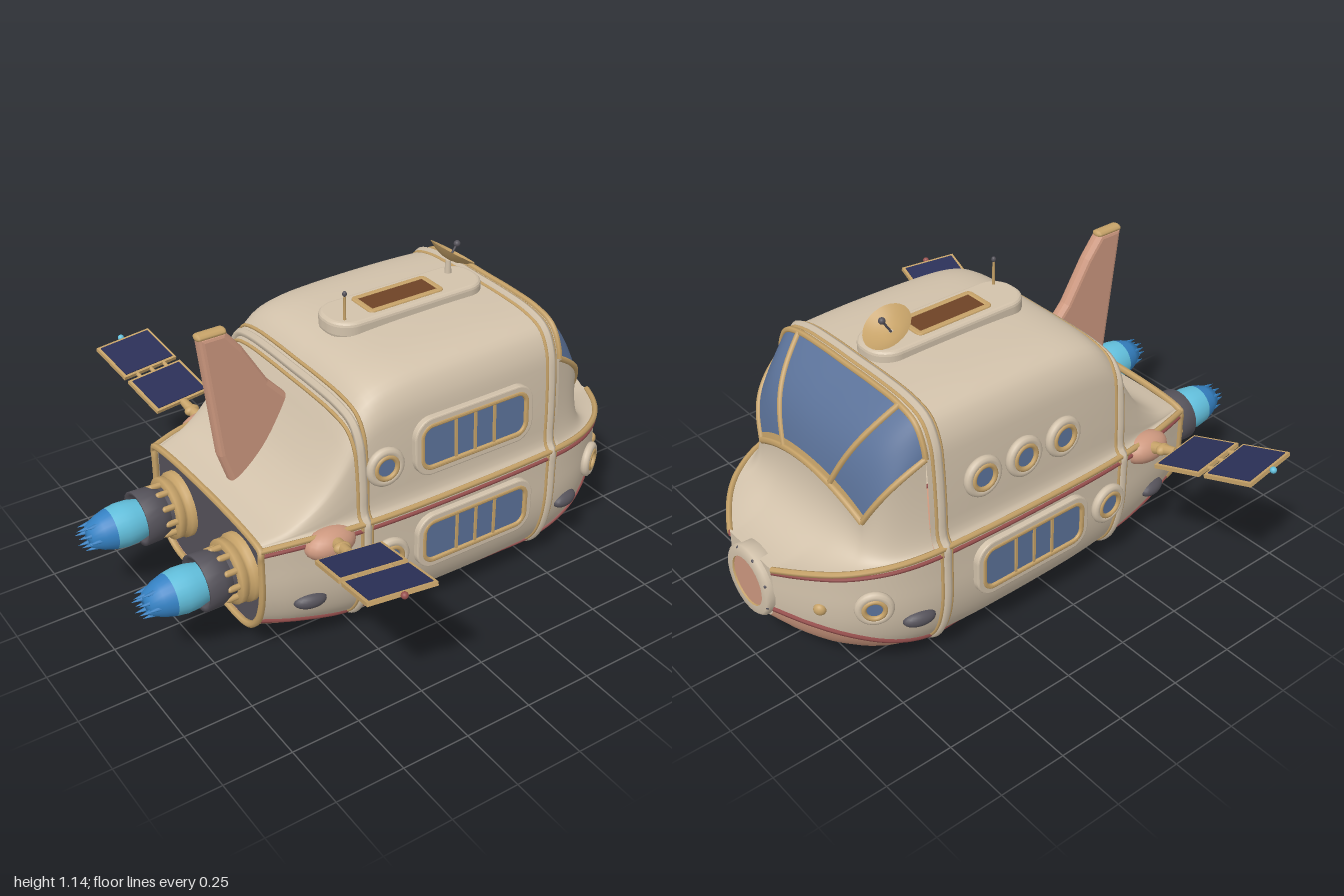
import * as THREE from 'three';

const mat = (name, color) => {
  const m = new THREE.MeshStandardMaterial({ color, side: THREE.DoubleSide });
  m.name = name;
  return m;
};
const V = (x, y, z) => new THREE.Vector3(x, y, z);
const ends = [1, -1];

// smooth lookup of column c in a table of stations sorted by x
function at(tab, x, c) {
  const n = tab.length - 1;
  let i = 0;
  while (i < n - 1 && x > tab[i + 1][0]) i++;
  const slope = k => {
    const a = tab[Math.max(k - 1, 0)], b = tab[Math.min(k + 1, n)];
    return (b[c] - a[c]) / (b[0] - a[0]);
  };
  const [p, q] = [tab[i], tab[i + 1]], d = q[0] - p[0];
  const t = THREE.MathUtils.clamp((x - p[0]) / d, 0, 1), s = 1 - t;
  return p[c] * s * s * (1 + 2 * t) + q[c] * t * t * (3 - 2 * t) + slope(i) * d * t * s * s - slope(i + 1) * d * t * t * s;
}
// half sections, from the seam to the centre line
const section = pts => new THREE.CatmullRomCurve3(pts.map(p => V(p[0], p[1], 0)));
const hullSec = section([[1, 0], [1, .2], [1, .42], [.97, .62], [.9, .8], [.77, .94], [.6, 1], [.3, 1], [0, 1]]);
const cabinSec = section([[1, 0], [.955, .06], [.94, .3], [.92, .6], [.89, .78], [.8, .92], [.62, .98], [.3, 1], [0, 1]]);
// x, half width, top, bottom
const HULL = [[-.62, .37, .49, .11], [-.5, .405, .5, .08], [-.3, .44, .5, .05], [0, .455, .5, .03], [.5, .45, .5, .03],
  [.68, .415, .49, .055], [.82, .335, .475, .11], [.91, .235, .46, .165], [.975, .125, .44, .22]];
// x, roof height
const ROOF = [[-.62, .5], [-.5, .54], [-.4, .63], [-.33, .74], [-.27, .86], [-.21, .935], [-.13, .97], [0, .985], [.3, .99], [.56, .985]];
// x, height where the belly paint begins
const BELLY = [[-.62, .18], [-.4, .12], [-.2, .06], [0, .045], [.4, .05], [.55, .09], [.7, .15], [.85, .22], [.975, .27]];
const X0 = -.62, X1 = .975, XC = .56;

function hullPt(x, t, s = 1) {
  const p = hullSec.getPoint(t), top = at(HULL, x, 2);
  return V(x, top - (top - at(HULL, x, 3)) * p.y, s * at(HULL, x, 1) * p.x);
}
function cabinPt(x, t, s = 1) {
  const p = cabinSec.getPoint(t), base = at(HULL, x, 2);
  return V(x, base + (at(ROOF, x, 1) - base) * p.y, s * at(HULL, x, 1) * p.x);
}
function tAtY(fn, x, y) {
  let a = 0, b = 1;
  const up = fn === cabinPt;
  for (let i = 0; i < 24; i++) {
    const m = (a + b) / 2;
    if ((fn(x, m).y < y) === up) a = m; else b = m;
  }
  return a;
}
function sideZ(x, y) {
  const fn = y > at(HULL, x, 2) ? cabinPt : hullPt;
  return fn(x, tAtY(fn, x, y)).z;
}
// windscreen surface: s across, u from the roof to the cowl
const tA = tAtY(cabinPt, XC, .84);
function glassPt(s, u) {
  const k = 1 - s * s, b = Math.sin(Math.PI * u);
  const p = cabinPt(XC, tA + (1 - tA) * (1 - Math.abs(s)), Math.sign(s) || 1).lerp(V(.73 + .012 * k, .61 + .08 * k, .29 * s), u);
  return p.add(V(.035 * b, .015 * b, .012 * b * s));
}
// cowl from windscreen edge down to the nose seam
function cowlPt(k, v) {
  const a = Math.abs(k), g = Math.sign(k) || 1;
  const e = a > .5 ? glassPt(g, 2 * (1 - a)) : glassPt(2 * k, 1);
  const x = a > .25 ? XC + (X1 - XC) * (1 - a) / .75 : X1;
  const l = hullPt(x, 0, a > .25 ? g : k / .25);
  const h = v * v, w = 1 - (1 - v) ** 2;
  return V(e.x + (l.x - e.x) * h, e.y + (l.y - e.y) * w, e.z + (l.z - e.z) * h);
}
function patch(fn, nu, nv) {
  const pos = [], idx = [];
  for (let i = 0; i <= nu; i++) for (let j = 0; j <= nv; j++) {
    pos.push(...fn(i / nu, j / nv).toArray());
    if (i < nu && j < nv) {
      const a = i * (nv + 1) + j, b = a + nv + 1;
      idx.push(a, b, a + 1, b, b + 1, a + 1);
    }
  }
  const g = new THREE.BufferGeometry();
  g.setAttribute('position', new THREE.Float32BufferAttribute(pos, 3));
  g.setIndex(idx);
  g.computeVertexNormals();
  return g;
}
const line = (n, fn) => Array.from({ length: n + 1 }, (_, i) => fn(i / n));
const tube = (pts, r, closed = false) => new THREE.TubeGeometry(new THREE.CatmullRomCurve3(pts, closed), pts.length * 2, r, 6, closed);
// turned part along x, from [x, radius] pairs
const latheX = pts => new THREE.LatheGeometry(pts.map(p => new THREE.Vector2(p[1], p[0])), 24).rotateZ(-Math.PI / 2);
function roundRect(w, h, r, S = THREE.Shape) {
  const s = new S(), x = w / 2 - r, y = h / 2 - r;
  s.absarc(x, y, r, 0, Math.PI / 2).absarc(-x, y, r, Math.PI / 2, Math.PI);
  s.absarc(-x, -y, r, Math.PI, Math.PI * 1.5).absarc(x, -y, r, Math.PI * 1.5, Math.PI * 2);
  return s;
}
function rectFrame(w, h, r, t, depth) {
  const s = roundRect(w, h, r);
  s.holes.push(roundRect(w - 2 * t, h - 2 * t, r - t, THREE.Path));
  return new THREE.ExtrudeGeometry(s, { depth, bevelEnabled: true, bevelSize: .005, bevelThickness: .005, bevelSegments: 2, curveSegments: 8 });
}

export function createModel() {
  const cream = mat('cream', 0xd2c2ab), salmon = mat('salmon', 0xcd987f), crimson = mat('crimson', 0x98504e),
    gold = mat('gold', 0xc6a268), glass = mat('glass blue', 0x5b7299), navy = mat('solar navy', 0x2b3058),
    grey = mat('dark grey', 0x55525a), cyan = mat('flame cyan', 0x62bfdc), blue = mat('flame blue', 0x3582c4), brown = mat('skylight brown', 0x6e4326);
  const root = new THREE.Group();
  const add = (name, geo, m, pos, parent = root) => {
    const o = new THREE.Mesh(geo, m);
    o.name = name;
    if (pos) o.position.set(...pos);
    parent.add(o);
    return o;
  };
  const group = (name, parent = root) => {
    const g = new THREE.Group();
    g.name = name;
    parent.add(g);
    return g;
  };
  const box = (x, y, z) => new THREE.BoxGeometry(x, y, z);
  const cyl = (a, b, h, n = 20) => new THREE.CylinderGeometry(a, b, h, n);
  const ball = (x, y, z) => new THREE.SphereGeometry(1, 20, 14).scale(x, y, z);
  const xAt = u => X0 + (X1 - X0) * u;

  // hull, belly and seam trim
  for (const s of ends) {
    const split = x => tAtY(hullPt, x, at(BELLY, x, 1));
    add('hullSide', patch((u, v) => hullPt(xAt(u), v * split(xAt(u)), s), 60, 16), cream);
    add('belly', patch((u, v) => { const t = split(xAt(u)); return hullPt(xAt(u), t + (1 - t) * v, s); }, 60, 14), salmon);
    add('seamTrim', tube(line(40, u => hullPt(xAt(u), 0, s)), .011), gold);
    add('seamStripe', tube(line(40, u => hullPt(xAt(u), .035, s)), .008), crimson);
    add('bellyStripe', tube(line(40, u => hullPt(xAt(u), split(xAt(u)), s)), .009), crimson);
    add('cabin', patch((u, v) => cabinPt(X0 + (XC - X0) * u, v, s), 60, 26), cream);
  }
  add('rearBulkhead', patch((u, v) => hullPt(X0, v, 2 * u - 1).add(V(.015, 0, 0)), 8, 20), grey);
  add('rearRim', tube([...line(20, t => hullPt(X0, t)), ...line(20, t => hullPt(X0, 1 - t, -1)).slice(1)], .013, true), gold);
  add('noseCap', patch((u, v) => hullPt(X1, v, 2 * u - 1), 8, 20), cream);

  // windscreen and cowl
  add('windscreen', patch((u, v) => glassPt(2 * u - 1, v * .92), 40, 14), glass);
  add('windscreenSill', patch((u, v) => glassPt(2 * u - 1, .92 + v * .08), 40, 3), gold);
  add('cowl', patch((u, v) => cowlPt(2 * u - 1, v), 80, 16), cream);
  add('windscreenTop', tube(line(30, u => glassPt(2 * u - 1, 0)), .011), gold);
  add('windscreenBottom', tube(line(20, u => glassPt(2 * u - 1, 1)), .013), gold);
  for (const s of [-1, -.45, .45, 1]) add('windscreenBar', tube(line(10, u => glassPt(s, u)), .011), gold);

  // hoops around the whole body
  const hoop = x => [...line(16, t => hullPt(x, 1 - t)), ...line(24, t => cabinPt(x, t)).slice(1),
    ...line(24, t => cabinPt(x, 1 - t, -1)).slice(1), ...line(16, t => hullPt(x, t, -1)).slice(1, -1)];
  for (const x of [-.26, .52]) {
    add('hoop', tube(hoop(x), .016, true), cream);
    for (const d of ends) add('hoopEdge', tube(hoop(x + d * .017), .007, true), gold);
  }

  // things fixed to the sides, turned to follow the surface
  const mount = (name, x, y, s) => {
    const g = group(name), e = .02, z = sideZ(x, y);
    const n = V((sideZ(x - e, y) - sideZ(x + e, y)) / (2 * e), (sideZ(x, y - e) - sideZ(x, y + e)) / (2 * e), 1);
    g.position.set(x, y, s * z);
    g.lookAt(V(x + n.x, y + n.y, s * (z + 1)));
    return g;
  };
  const porthole = (x, y, s, r) => {
    const g = mount('porthole', x, y, s);
    add('portholeRing', new THREE.TorusGeometry(r, .016, 10, 28), cream, [0, 0, .01], g);
    add('portholeRim', new THREE.TorusGeometry(r - .015, .009, 8, 28), gold, [0, 0, .02], g);
    add('portholeGlass', new THREE.CircleGeometry(r - .01, 28), glass, [0, 0, .017], g);
  };
  const sideWindow = (x, y, s) => {
    const g = mount('sideWindow', x, y, s);
    add('windowFrame', rectFrame(.48, .205, .065, .02, .02), cream, [0, 0, -.005], g);
    add('windowRim', rectFrame(.44, .165, .045, .006, .016), gold, [0, 0, .002], g);
    add('windowGlass', new THREE.ShapeGeometry(roundRect(.445, .17, .045)), glass, [0, 0, .013], g);
    for (const i of [-1, 0, 1]) add('windowBar', box(.009, .165, .01), gold, [i * .08, 0, .015], g);
  };
  for (const s of ends) {
    sideWindow(.17, .345, s);
    porthole(-.18, .34, s, .06);
    porthole(.76, .34, s, .05);
    for (const x of [-.46, .62]) add('sideLamp', ball(.058, .028, .03), grey, null, mount('sideLampMount', x, .245, s));
    add('noseBolt', ball(.022, .022, .018), gold, null, mount('noseBoltMount', .89, .32, s));
  }
  sideWindow(.175, .705, 1);
  porthole(-.18, .685, 1, .055);
  for (const x of [.02, .19, .36]) porthole(x, .7, -1, .058);

  // nose hatch
  add('noseRing', latheX([[.93, .1], [.94, .128], [.99, .128], [1, .118], [1, .09]]), cream, [0, .325, 0]);
  add('noseRim', new THREE.TorusGeometry(.098, .01, 8, 32).rotateY(Math.PI / 2), gold, [.99, .325, 0]);
  add('noseDisc', new THREE.CircleGeometry(.095, 32).rotateY(Math.PI / 2), salmon, [.993, .325, 0]);
  for (let i = 0; i < 8; i++) {
    const a = (i + .5) * Math.PI / 4;
    add('noseRivet', ball(.006, .008, .008), grey, [.994, .325 + .116 * Math.sin(a), .116 * Math.cos(a)]);
  }

  // underside
  add('bellyPlate', patch((u, v) => { const x = -.5 + 1.08 * u; return V(x, at(HULL, x, 3) - .006, .25 * (2 * v - 1)); }, 24, 4), grey);
  add('bellyHatch', cyl(.11, .11, .01, 32), gold, [.15, .02, 0]);
  add('bellyHatchRim', new THREE.TorusGeometry(.12, .013, 8, 32).rotateX(Math.PI / 2), gold, [.15, .02, 0]);
  for (const x of [-.12, .4]) for (let i = -3; i <= 3; i++) add('bellyVent', box(.012, .01, .12), grey, [x + i * .022, .022, 0]);
  for (const s of ends) for (const x of [-.18, .45]) add('footPad', ball(.095, .03, .042), cream, [x, .03, s * .265]);

  // roof pod, skylight, mast and dish
  const pod = new THREE.ExtrudeGeometry(roundRect(.6, .16, .07), { depth: .03, bevelSize: .015, bevelThickness: .015, bevelSegments: 3 });
  add('roofPod', pod.rotateX(-Math.PI / 2), cream, [.18, .98, 0]);
  add('skylightFrame', rectFrame(.3, .12, .015, .012, .006).rotateX(-Math.PI / 2), gold, [.165, 1.02, 0]);
  add('skylight', box(.28, .006, .1), brown, [.165, 1.025, 0]);
  add('mast', cyl(.004, .006, .12, 8), gold, [-.085, 1.06, .05]);
  add('mastTip', ball(.008, .01, .008), grey, [-.085, 1.12, .05]);
  add('dishPost', cyl(.01, .014, .07, 10), cream, [.41, 1.04, -.04]);
  const dish = group('dish');
  dish.position.set(.428, 1.09, -.045);
  dish.rotation.z = -.58;
  const bowl = [[0, -.024], [.03, -.02], [.06, -.009], [.088, .008]].map(p => new THREE.Vector2(...p));
  add('dishBowl', new THREE.LatheGeometry(bowl, 28), gold, null, dish);
  add('dishFeed', cyl(.004, .004, .06, 8), grey, [0, .008, 0], dish);
  add('dishTip', ball(.012, .012, .012), grey, [0, .04, 0], dish);

  // tail fin
  const fin = new THREE.Shape([[-.595, 1.08], [-.525, 1.08], [-.47, 1.01], [-.38, .86], [-.28, .75], [-.44, .52], [-.5, .5], [-.545, .64]].map(p => new THREE.Vector2(...p)));
  add('tailFin', new THREE.ExtrudeGeometry(fin, { depth: .012, bevelSize: .018, bevelThickness: .02, bevelSegments: 3 }), salmon, [0, 0, -.006]);
  add('finCap', new THREE.CapsuleGeometry(.013, .085, 4, 10).rotateZ(Math.PI / 2).scale(1, 1, 1.8), gold, [-.563, 1.095, 0]);

  // solar wings
  for (const s of ends) {
    add('wingPod', ball(.095, .055, .06), salmon, [-.39, .465, s * .42]);
    const w = group('solarWing');
    w.position.set(-.385, .475, s * .43);
    w.rotation.set(-.28, s > 0 ? -.15 : Math.PI + .15, 0, 'YXZ');
    add('wingArm', cyl(.015, .025, .12, 12).rotateX(Math.PI / 2), gold, [0, 0, .07], w);
    add('wingCollar', ball(.03, .02, .02), gold, [0, 0, .075], w);
    for (const z of [.22, .425]) {
      add('panelFrame', box(.235, .014, .185), gold, [0, 0, z], w);
      for (const y of ends) add('solarCells', box(.212, .004, .165), navy, [0, y * .008, z], w);
    }
    for (const x of [-.06, 0, .06]) add('panelHinge', cyl(.008, .008, .05, 8).rotateX(Math.PI / 2), gold, [x, 0, .322], w);
    add('wingTip', ball(.012, .012, .012), s > 0 ? crimson : cyan, [0, 0, .528], w);
  }

  // engines with flames
  for (const s of ends) {
    const g = group('engine');
    g.position.set(0, .33, s * .215);
    add('engineMount', latheX([[-.67, .085], [-.668, .115], [-.645, .115], [-.642, .1], [-.63, .1], [-.625, .122], [-.6, .122]]), gold, null, g);
    add('engineCore', latheX([[-.72, .075], [-.66, .08]]), grey, null, g);
    add('engineBell', latheX([[-.74, .065], [-.775, .085], [-.778, .1], [-.72, .098], [-.685, .082], [-.66, .06]]), grey, null, g);
    for (let i = 0; i < 10; i++) {
      const a = i * Math.PI / 5;
      add('enginePipe', new THREE.CapsuleGeometry(.011, .055, 3, 8).rotateZ(Math.PI / 2), gold, [-.675, .09 * Math.sin(a), .09 * Math.cos(a)], g);
      const r = i % 2 ? .03 : .045;
      add('flameTongue', new THREE.ConeGeometry(.014, .07, 6).rotateZ(Math.PI / 2), blue, [i % 2 ? -.965 : -.95, r * Math.sin(a), r * Math.cos(a)], g);
    }
    add('flameBase', latheX([[-.88, .074], [-.84, .08], [-.8, .078], [-.75, .066]]), cyan, null, g);
    add('flameTail', latheX([[-.965, 0], [-.96, .04], [-.92, .062], [-.88, .074]]), blue, null, g);
  }
  add('smallThruster', latheX([[-.69, .03], [-.71, .042], [-.705, .046], [-.67, .028], [-.64, .03], [-.6, .035]]), grey, [0, .185, 0]);
  return root;
}
